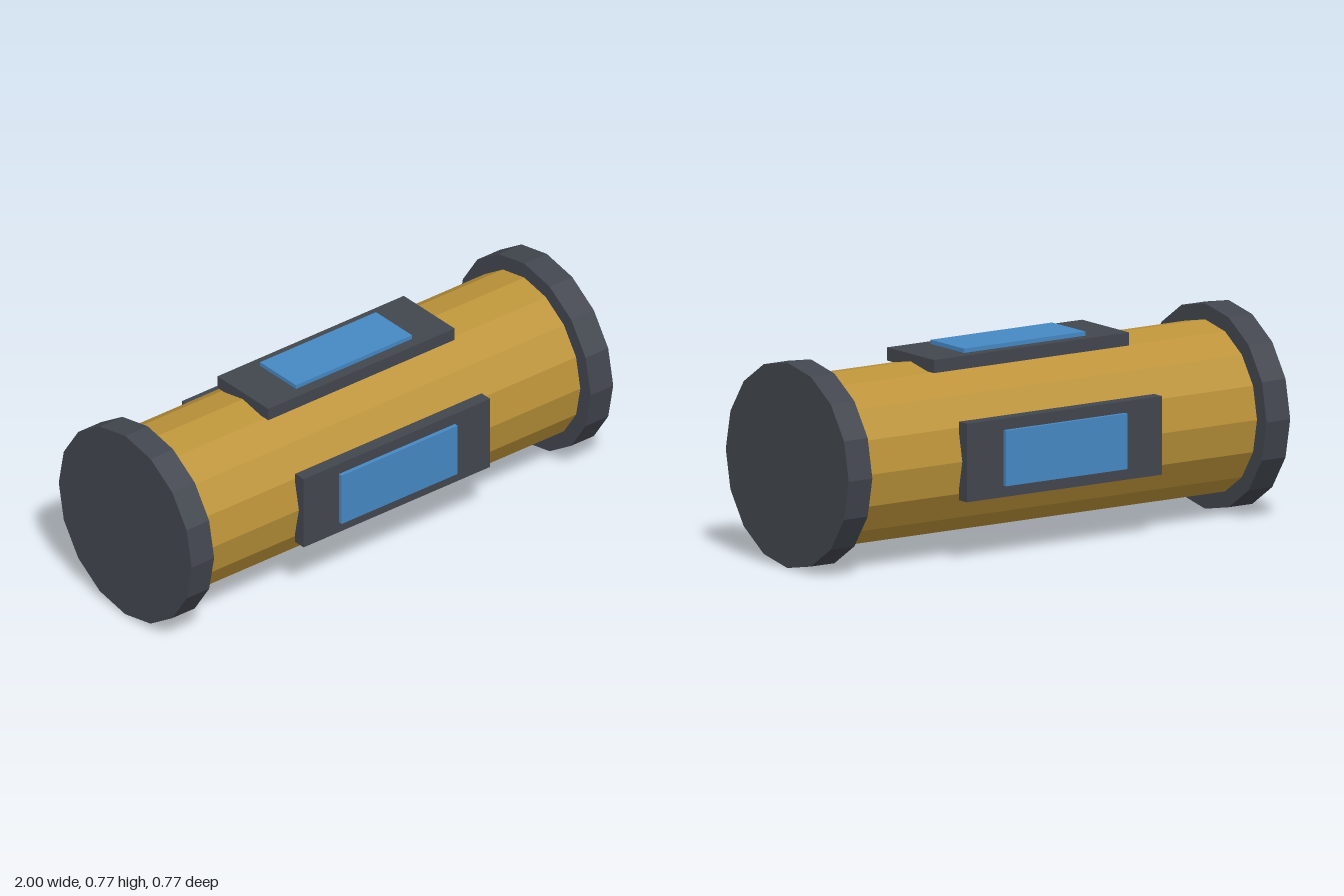
import * as THREE from 'three';

const CENTER_Y = 0.384;

export function createModel() {
  const model = new THREE.Group();
  model.name = 'canister';

  const gold = new THREE.MeshStandardMaterial({ color: 0xbd943a, flatShading: true });
  gold.name = 'gold';
  const darkGrey = new THREE.MeshStandardMaterial({ color: 0x42464e, flatShading: true });
  darkGrey.name = 'dark grey';
  const blue = new THREE.MeshStandardMaterial({ color: 0x4688c4, flatShading: true });
  blue.name = 'blue';

  const add = (parent, name, geometry, material, x, y, z) => {
    const mesh = new THREE.Mesh(geometry, material);
    mesh.name = name;
    mesh.position.set(x, y, z);
    parent.add(mesh);
  };

  // 16-sided cylinder lying along x
  const drum = (radius, length) =>
    new THREE.CylinderGeometry(radius, radius, length, 16).rotateZ(Math.PI / 2);

  // Body and end caps
  add(model, 'body', drum(0.324, 1.8), gold, 0, CENTER_Y, 0);
  add(model, 'leftCap', drum(0.384, 0.107), darkGrey, 0.9465, CENTER_Y, 0);
  add(model, 'rightCap', drum(0.384, 0.107), darkGrey, -0.9465, CENTER_Y, 0);

  // Framed windows on the front, top and back, turned around the body axis
  const frame = new THREE.BoxGeometry(0.884, 0.294, 0.049);
  const pane = new THREE.BoxGeometry(0.55, 0.208, 0.03);
  const sides = { front: 0, top: -Math.PI / 2, back: Math.PI };
  for (const [side, angle] of Object.entries(sides)) {
    const panel = new THREE.Group();
    panel.name = side + 'Panel';
    panel.position.y = CENTER_Y;
    panel.rotation.x = angle;
    add(panel, side + 'Frame', frame, darkGrey, 0, 0, 0.3275);
    add(panel, side + 'Window', pane, blue, 0, 0, 0.353);
    model.add(panel);
  }

  return model;
}
